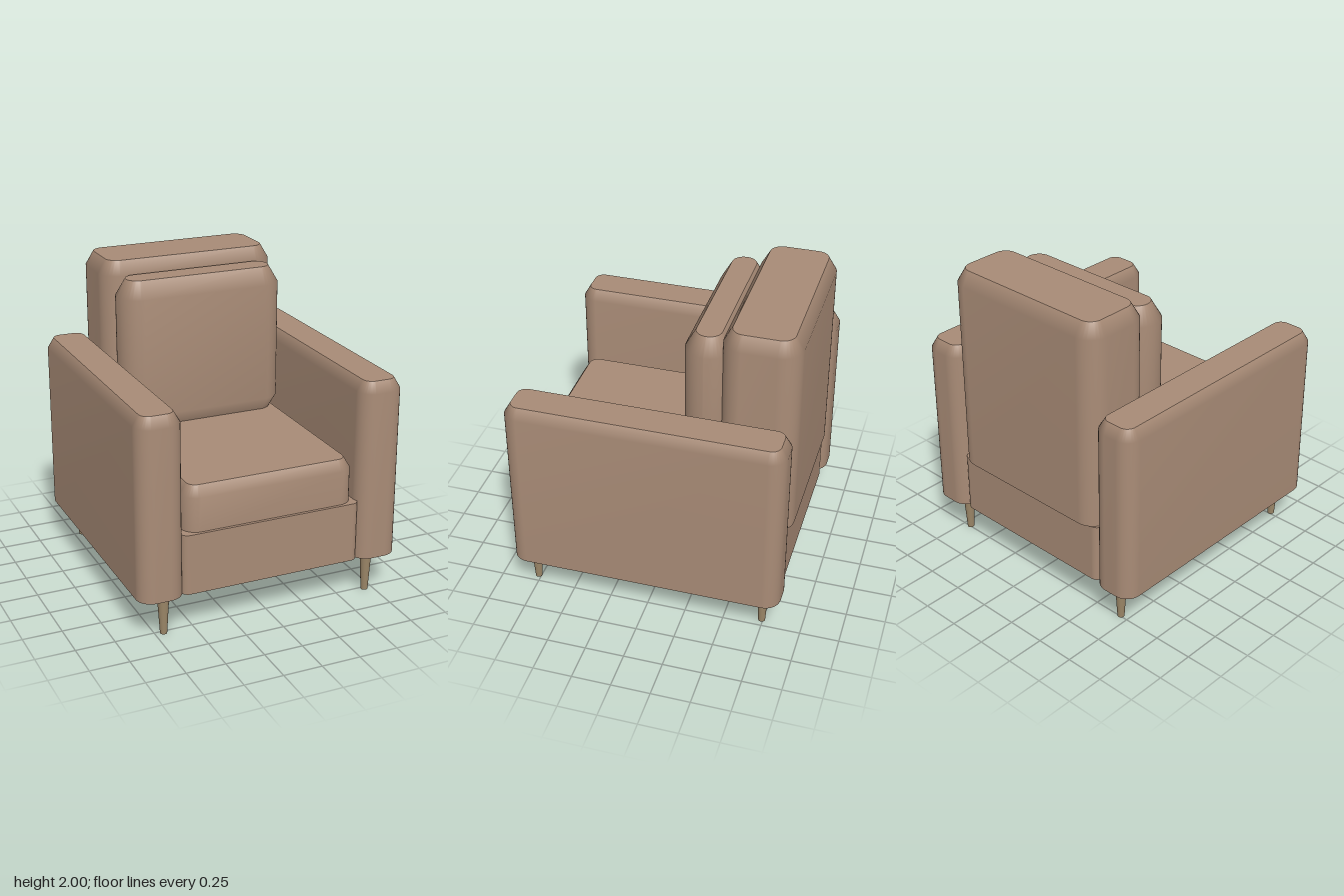
import * as THREE from 'three';

const fabric = new THREE.MeshStandardMaterial({ color: 0xa88b76 });
const wood = new THREE.MeshStandardMaterial({ color: 0x9c8768 });
const CORNER_STEPS = 8;

// Rounded rectangle in plan, as a loop of [x, z] points
function outline(w, d, r) {
  const points = [];
  [[1, 1], [-1, 1], [-1, -1], [1, -1]].forEach(([sx, sz], corner) => {
    for (let i = 0; i <= CORNER_STEPS; i++) {
      const a = (corner + i / CORNER_STEPS) * Math.PI / 2;
      points.push([sx * (w / 2 - r) + r * Math.cos(a), sz * (d / 2 - r) + r * Math.sin(a)]);
    }
  });
  return points;
}

// Upholstered block: levels are [y, inset]; sides are smooth, caps are flat
function paddedBlock(w, d, r, levels) {
  const positions = [], index = [];
  const rings = levels.map(([y, inset]) =>
    outline(w - 2 * inset, d - 2 * inset, r - inset).map(([x, z]) => [x, y, z]));
  const n = rings[0].length;
  rings.forEach((ring) => ring.forEach((p) => positions.push(...p)));
  for (let k = 0; k < rings.length - 1; k++) {
    for (let i = 0; i < n; i++) {
      const a = k * n + i, b = k * n + (i + 1) % n;
      index.push(a, a + n, b, b, a + n, b + n);
    }
  }
  // Caps have their own vertices so that their rims stay sharp
  [[rings[0], false], [rings[rings.length - 1], true]].forEach(([ring, up]) => {
    const start = positions.length / 3;
    ring.forEach((p) => positions.push(...p));
    positions.push(0, ring[0][1], 0);
    for (let i = 0; i < n; i++) {
      const a = start + i, b = start + (i + 1) % n;
      index.push(start + n, up ? b : a, up ? a : b);
    }
  });
  const geometry = new THREE.BufferGeometry();
  geometry.setAttribute('position', new THREE.Float32BufferAttribute(positions, 3));
  geometry.setIndex(index);
  geometry.computeVertexNormals();
  return geometry;
}

export function createModel() {
  const group = new THREE.Group();
  const add = (name, geometry, material, x, y, z) => {
    const mesh = new THREE.Mesh(geometry, material);
    mesh.name = name;
    mesh.position.set(x, y, z);
    group.add(mesh);
  };

  // Base frame
  add('base', paddedBlock(1.19, 1.69, 0.05, [[0.265, 0], [0.655, 0]]), fabric, 0, 0, 0);

  // Seat cushion
  add('seatCushion', paddedBlock(1.13, 1.235, 0.1,
    [[0.62, 0], [0.875, 0], [0.943, 0.042]]), fabric, 0, 0, 0.208);

  // Backrest
  add('backrest', paddedBlock(1.19, 0.475, 0.13,
    [[0.655, 0], [1.91, 0], [2, 0.052]]), fabric, 0, 0, -0.635);

  // Loose back pillow, bevelled at top and bottom
  add('backPillow', paddedBlock(1.11, 0.285, 0.14,
    [[0.915, 0.064], [1.03, 0], [1.807, 0], [1.918, 0.064]]), fabric, 0, 0, -0.298);

  // Arms and tapered legs, mirrored left and right
  const arm = paddedBlock(0.29, 1.742, 0.1, [[0.265, 0], [1.365, 0], [1.435, 0.041]]);
  const leg = new THREE.CylinderGeometry(0.038, 0.022, 0.265, 20);
  for (const [side, s] of [['left', 1], ['right', -1]]) {
    add(side + 'Arm', arm, fabric, s * 0.726, 0, 0);
    add(side + 'FrontLeg', leg, wood, s * 0.695, 0.1325, 0.768);
    add(side + 'BackLeg', leg, wood, s * 0.695, 0.1325, -0.742);
  }
  return group;
}
